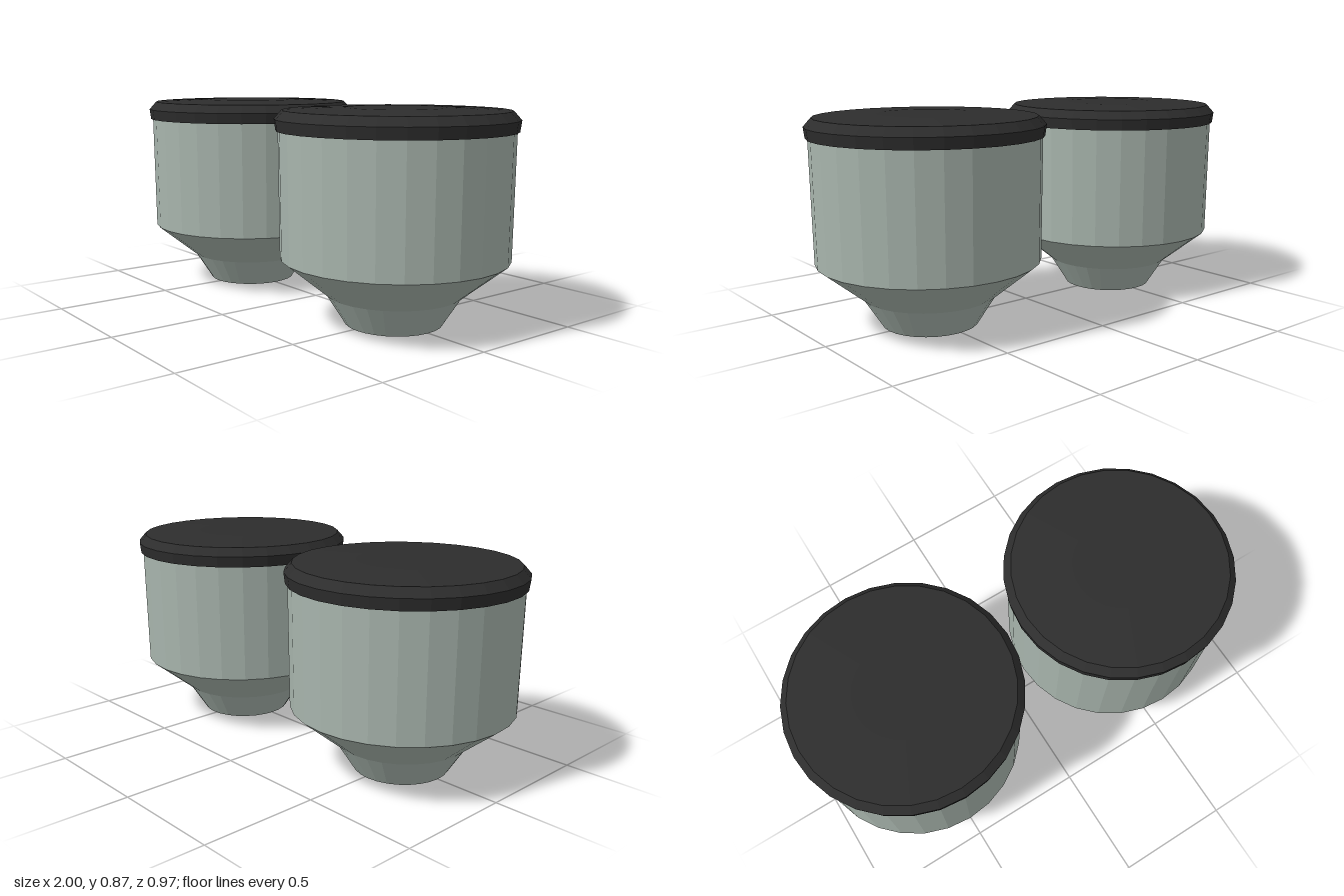
import * as THREE from 'three';

const SIDES = 28;

// Faceted solid of revolution from [radius, y] points, bottom to top
function turned(name, profile, material) {
  const points = profile.map(([r, y]) => new THREE.Vector2(r, y));
  const geometry = new THREE.LatheGeometry(points, SIDES).toNonIndexed();
  geometry.computeVertexNormals();
  const mesh = new THREE.Mesh(geometry, material);
  mesh.name = name;
  return mesh;
}

export function createModel() {
  const model = new THREE.Group();
  model.name = 'canisterPair';

  const bodyGreen = new THREE.MeshStandardMaterial({ color: 0xa8b5ad, flatShading: true });
  bodyGreen.name = 'greyGreen';
  const lidBlack = new THREE.MeshStandardMaterial({ color: 0x2d2d2d, flatShading: true });
  lidBlack.name = 'charcoal';

  for (const side of [-1, 1]) {
    const canister = new THREE.Group();
    canister.name = side > 0 ? 'leftCanister' : 'rightCanister';
    canister.position.x = side * 0.516;

    // Funnel-footed container, closed at the base
    canister.add(turned('body', [
      [0, 0], [0.2, 0], [0.278, 0.123], [0.463, 0.273], [0.469, 0.785],
    ], bodyGreen));

    // Overhanging lid with bevelled rim and very shallow crown
    canister.add(turned('lid', [
      [0, 0.783], [0.478, 0.783], [0.484, 0.829], [0.453, 0.864], [0.2, 0.873], [0, 0.874],
    ], lidBlack));

    model.add(canister);
  }
  return model;
}
